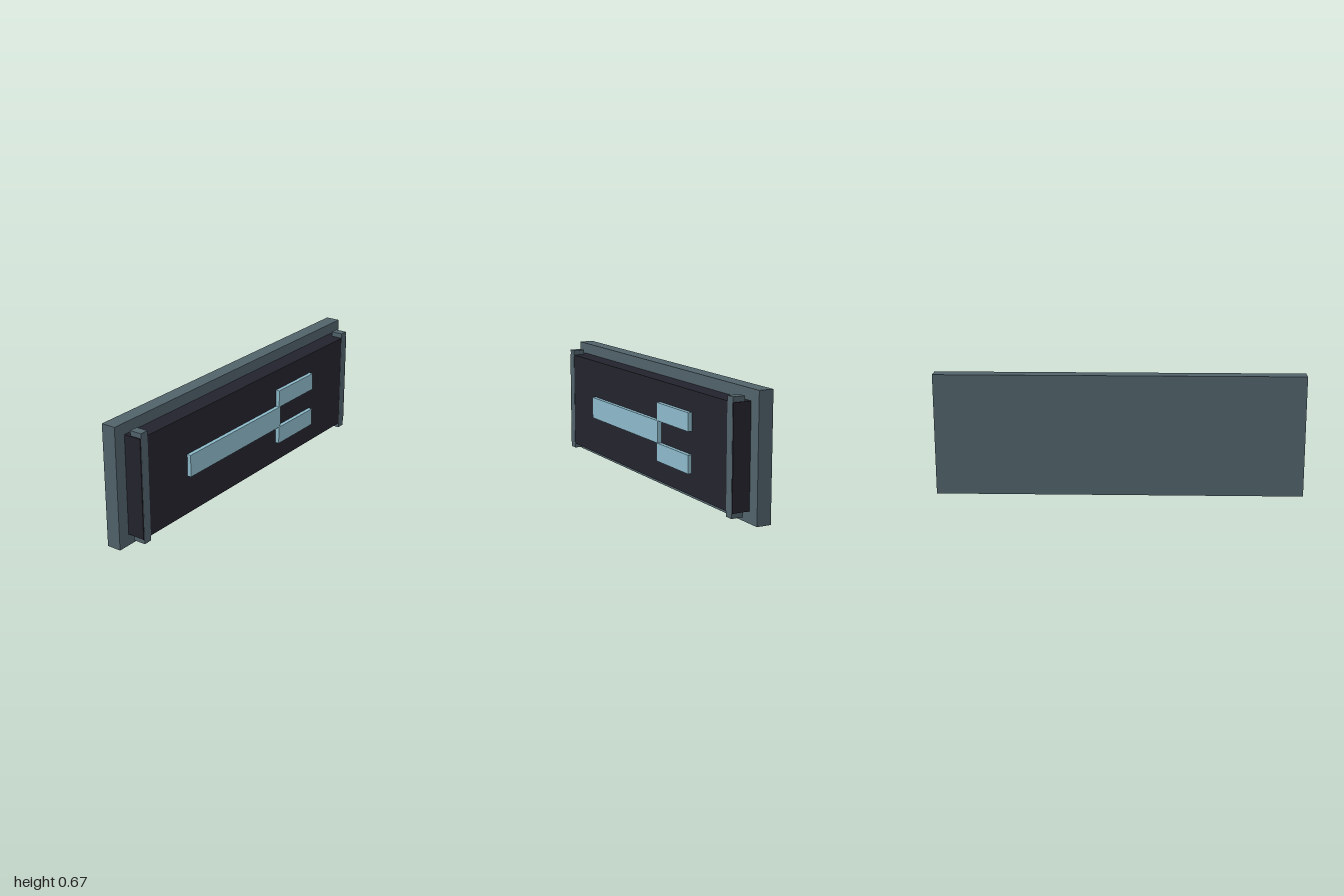
import * as THREE from 'three';

const material = (name, color) => {
  const m = new THREE.MeshStandardMaterial({ color });
  m.name = name;
  return m;
};

export function createModel() {
  const slate = material('slate', 0x50626a);
  const dark = material('dark panel', 0x23232d);
  const blue = material('pale blue', 0x8cb9ca);
  const group = new THREE.Group();
  group.name = 'wallPanel';

  // Box given by its extents along each axis
  const addBox = (name, mat, [x0, x1], [y0, y1], [z0, z1]) => {
    const mesh = new THREE.Mesh(new THREE.BoxGeometry(x1 - x0, y1 - y0, z1 - z0), mat);
    mesh.position.set((x0 + x1) / 2, (y0 + y1) / 2, (z0 + z1) / 2);
    mesh.name = name;
    group.add(mesh);
  };

  // Back plate and the raised dark panel
  addBox('backPlate', slate, [-1, 1], [0, 0.667], [-0.1, -0.02]);
  addBox('frontPanel', dark, [-0.932, 0.932], [0.062, 0.606], [-0.02, 0.078]);

  // Upright clamps, just proud of the panel face
  addBox('leftClamp', slate, [0.877, 0.925], [0.035, 0.633], [0.012, 0.079]);
  addBox('rightClamp', slate, [-0.925, -0.877], [0.035, 0.633], [0.012, 0.079]);

  // Forked emblem: shaft and two prongs
  addBox('emblemShaft', blue, [-0.578, 0.22], [0.275, 0.396], [0.078, 0.1]);
  addBox('upperProng', blue, [0.207, 0.541], [0.396, 0.493], [0.078, 0.1]);
  addBox('lowerProng', blue, [0.207, 0.541], [0.177, 0.275], [0.078, 0.1]);

  return group;
}
